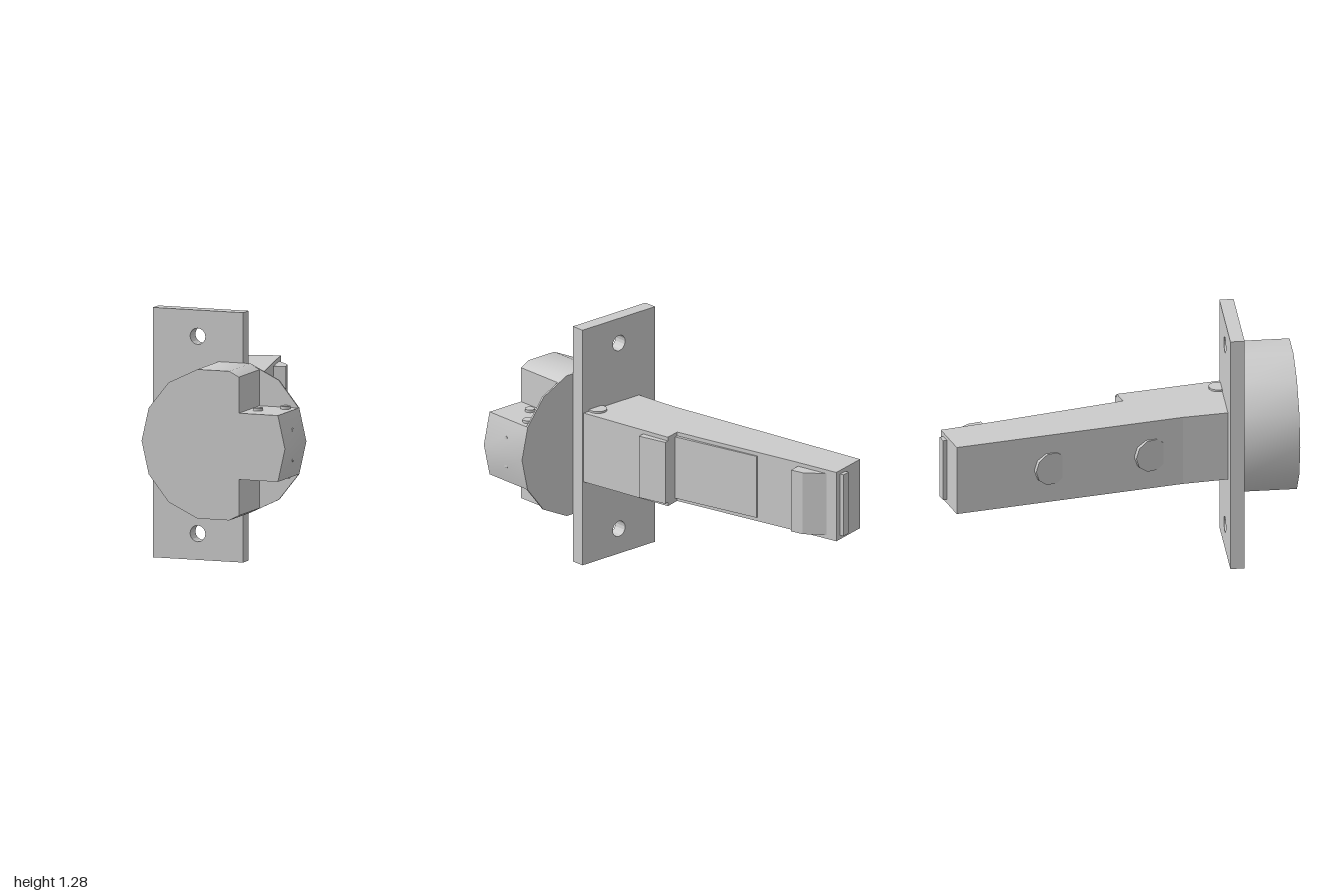
import * as THREE from 'three';
import { toCreasedNormals } from 'three/addons/utils/BufferGeometryUtils.js';

const material = new THREE.MeshStandardMaterial({ color: 0xcccccc });
const MID = 0.642; // height of the hinge's middle plane

const shapeOf = (points) => new THREE.Shape(points.map(([x, y]) => new THREE.Vector2(x, y)));

function add(parent, name, geometry, x = 0, y = 0, z = 0) {
  const mesh = new THREE.Mesh(geometry, material);
  mesh.name = name;
  mesh.position.set(x, y, z);
  parent.add(mesh);
  return mesh;
}

// Upright prism from a plan outline of [x, z] points, centred on MID
function addPrism(parent, name, plan, height) {
  const geometry = new THREE.ExtrudeGeometry(shapeOf(plan.map(([x, z]) => [x, -z])), { depth: height, bevelEnabled: false });
  geometry.rotateX(-Math.PI / 2);
  return add(parent, name, geometry, 0, MID - height / 2, 0);
}

// Plate or cup slab extruded towards the front
const slab = (shape, depth) =>
  new THREE.ExtrudeGeometry(shape, { depth, bevelEnabled: false, curveSegments: 8 });

export function createModel() {
  const group = new THREE.Group();
  group.name = 'hinge';

  // Arm body with a slimmer rear half
  addPrism(group, 'arm', [
    [-0.275, 0.46], [0.09, 0.56], [0.138, 0.005], [0.052, 0.005],
    [0.068, -0.74], [0.078, -0.98], [-0.143, -0.98], [-0.238, 0.22],
  ], 0.376);

  // Raised details along the arm's inner side
  addPrism(group, 'armPanel', [[0.03, 0.005], [0.07, 0.005], [0.07, -0.49], [0.03, -0.49]], 0.335);
  addPrism(group, 'frontPad', [[0.1, 0.005], [0.162, 0.005], [0.162, 0.165], [0.1, 0.165]], 0.335);
  addPrism(group, 'rearCatch', [[0.04, -0.74], [0.132, -0.74], [0.132, -0.81], [0.075, -0.92], [0.04, -0.92]], 0.335);
  addPrism(group, 'endTab', [[-0.005, -0.96], [0.042, -0.96], [0.042, -1], [-0.005, -1]], 0.335);

  // Screw caps on the arm's outer side
  for (const [x, z, r] of [[-0.173, -0.48, 0.09], [-0.216, 0.05, 0.09]]) {
    const cap = add(group, 'screwCap', new THREE.CylinderGeometry(r, r, 0.06, 10), x + 0.011, MID, z);
    cap.rotation.set(0, 0.079, Math.PI / 2, 'YXZ');
  }

  // Pivot pin through the arm
  add(group, 'pivotPin', new THREE.CylinderGeometry(0.048, 0.048, 0.396, 12), 0.018, MID, 0.51);

  // Turned head: plate and cup, with the cup's front face at local z = 0
  const head = new THREE.Group();
  head.name = 'head';
  head.position.set(-0.04, MID, 0.89);
  head.rotation.y = -Math.PI / 12;
  group.add(head);

  // Mounting plate with two holes
  const plate = shapeOf([[-0.449, -MID], [0.046, -MID], [0.046, MID], [-0.449, MID]]);
  for (const y of [-0.507, 0.507]) {
    plate.holes.push(new THREE.Path().absarc(-0.203, y, 0.042, 0, Math.PI * 2, true));
  }
  add(head, 'mountingPlate', slab(plate, 0.073), 0, 0, -0.364);

  // Fourteen-sided cup and its thin rear flange
  const R = 0.393;
  const rim = (i) => [R * Math.cos(i * Math.PI / 7), R * Math.sin(i * Math.PI / 7)];
  const ring = Array.from({ length: 14 }, (_, i) => rim(i));
  add(head, 'cupFlange', toCreasedNormals(slab(shapeOf(ring), 0.01), 0.5), 0, 0, -0.291);

  // Cup outline notched above and below the tongue
  const cut = 0.14, cutY = 0.356;
  const outline = [
    rim(0), rim(1), [cut, rim(1)[1]], [cut, cutY],
    ...ring.slice(3, 12),
    [cut, -cutY], [cut, rim(13)[1]], rim(13),
  ];
  add(head, 'cup', toCreasedNormals(slab(shapeOf(outline), 0.284), 0.5), 0, 0, -0.284);

  // Pins through the tongue
  for (const [x, z] of [[0.193, -0.128], [0.302, -0.233]]) {
    add(head, 'tonguePin', new THREE.CylinderGeometry(0.026, 0.026, 0.37, 12), x, 0, z);
  }

  // Small studs on the tongue's end
  for (const y of [-0.075, 0.075]) {
    const stud = add(head, 'endStud', new THREE.CylinderGeometry(0.012, 0.012, 0.02, 8), 0.367, y, -0.15);
    stud.rotation.z = Math.PI / 2;
  }
  return group;
}
